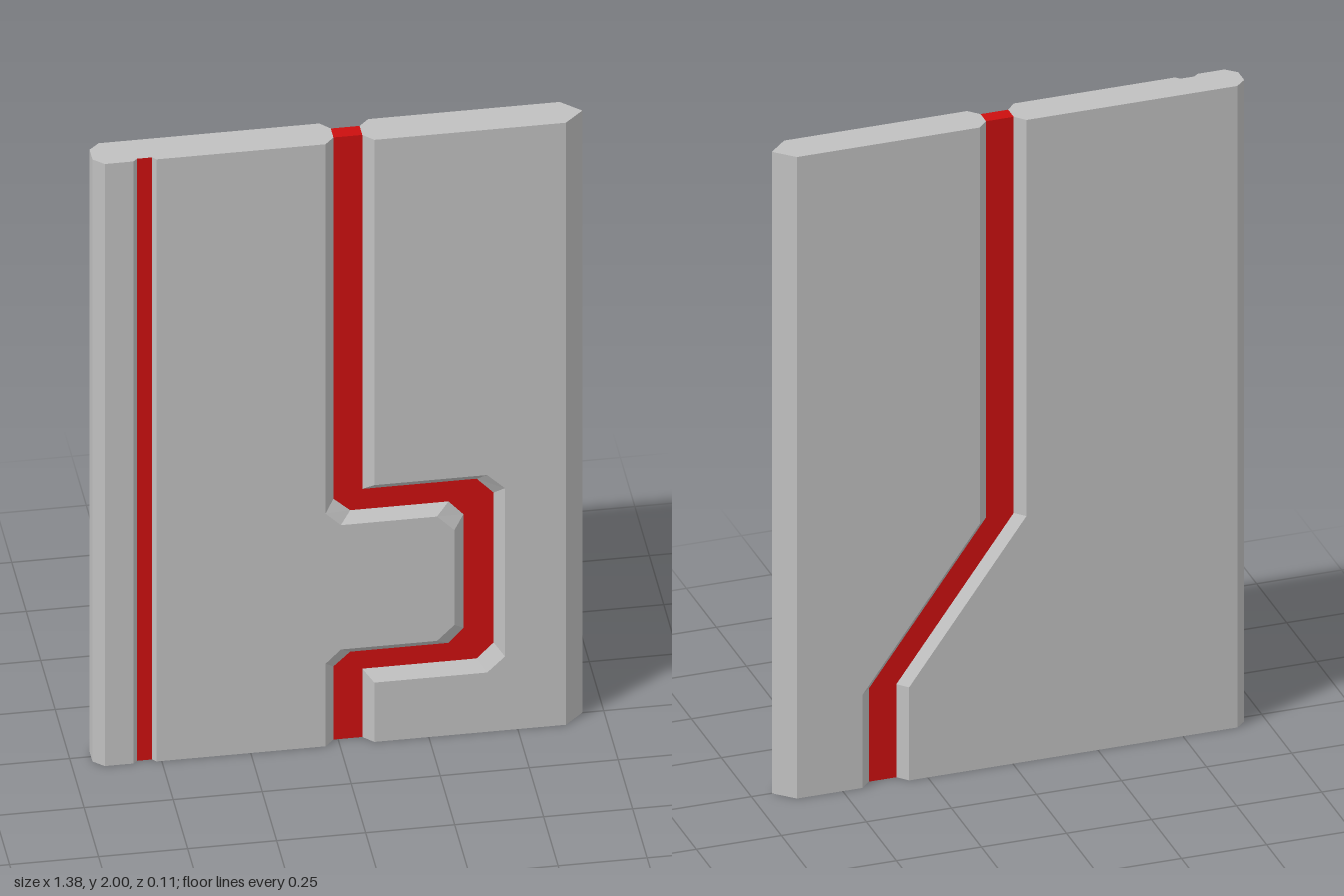
import * as THREE from 'three';

const H = 2;      // panel height
const D = 0.053;  // half thickness
const F = 0.023;  // half depth at the groove floors
const S = 0.041;  // depth of the narrow stripe channel

export function createModel() {
  const grey = new THREE.MeshStandardMaterial({ name: 'panel grey', color: 0xc0c0c0 });
  const red = new THREE.MeshStandardMaterial({ name: 'seam red', color: 0xcc0f0f });
  const model = new THREE.Group();
  model.name = 'doorPanel';

  const add = (parent, name, geometry, material) => {
    const mesh = new THREE.Mesh(geometry, material);
    mesh.name = name;
    parent.add(mesh);
    return mesh;
  };

  // flat polygon facing +z
  const flat = (points) =>
    new THREE.ShapeGeometry(new THREE.Shape(points.map(([x, y]) => new THREE.Vector2(x, y))));

  // flat-shaded band between two top-to-bottom lines, left line first
  const band = (left, zl, right, zr) => {
    const pos = [];
    for (let i = 0; i + 1 < left.length; i++) {
      const a = [...left[i], zl], b = [...left[i + 1], zl];
      const c = [...right[i + 1], zr], d = [...right[i], zr];
      pos.push(...a, ...b, ...c, ...a, ...c, ...d);
    }
    const g = new THREE.BufferGeometry();
    g.setAttribute('position', new THREE.Float32BufferAttribute(pos, 3));
    g.computeVertexNormals();
    return g;
  };
  const vertical = (x) => [[x, H], [x, 0]];
  const between = (left, right) => flat([...left, ...[...right].reverse()]);

  // bevelled groove with a red floor, and the panel faces either side of it
  const grooveSide = (name, { outerA, floorA, floorB, outerB, xMin, xMax }) => {
    const side = new THREE.Group();
    side.name = name;
    add(side, 'faceA', between(vertical(xMin), outerA), grey).position.z = D;
    add(side, 'bevelA', band(outerA, D, floorA, F), grey);
    add(side, 'grooveFloor', between(floorA, floorB), red).position.z = F;
    add(side, 'bevelB', band(floorB, F, outerB, D), grey);
    add(side, 'faceB', between(outerB, vertical(xMax)), grey).position.z = D;
    model.add(side);
    return side;
  };

  // front: groove that steps around a tab with cut corners
  const front = grooveSide('front', {
    outerA: [[-0.04, H], [-0.04, 0.773], [0.003, 0.73], [0.273, 0.73], [0.322, 0.68],
      [0.322, 0.365], [0.273, 0.317], [0.003, 0.317], [-0.04, 0.274], [-0.04, 0]],
    floorA: [[-0.013, H], [-0.013, 0.8], [0.034, 0.757], [0.31, 0.757], [0.352, 0.71],
      [0.352, 0.333], [0.31, 0.287], [0.034, 0.287], [-0.013, 0.243], [-0.013, 0]],
    floorB: [[0.068, H], [0.068, 0.824], [0.389, 0.824], [0.437, 0.773],
      [0.437, 0.275], [0.389, 0.227], [0.068, 0.227], [0.068, 0]],
    outerB: [[0.097, H], [0.097, 0.853], [0.414, 0.853], [0.464, 0.804],
      [0.464, 0.245], [0.414, 0.197], [0.097, 0.197], [0.097, 0]],
    xMin: -0.515, xMax: 0.635,
  });

  // narrow red channel near the blunt edge
  add(front, 'borderFace', between(vertical(-0.66), vertical(-0.58)), grey).position.z = D;
  add(front, 'stripeBevelA', band(vertical(-0.58), D, vertical(-0.567), S), grey);
  add(front, 'stripe', between(vertical(-0.567), vertical(-0.525)), red).position.z = S;
  add(front, 'stripeBevelB', band(vertical(-0.525), S, vertical(-0.515), D), grey);

  // back: groove with one slanted run, written facing +z and turned round
  const slant = (x) => [[x, H], [x, 0.765], [x - 0.345, 0.29], [x - 0.345, 0]];
  grooveSide('back', {
    outerA: slant(-0.097), floorA: slant(-0.068), floorB: slant(0.013), outerB: slant(0.04),
    xMin: -0.635, xMax: 0.66,
  }).rotation.y = Math.PI;

  // long edges: blunt on one side, pointed on the other
  const edge = (name, profile) => {
    for (let i = 0; i + 1 < profile.length; i++) {
      const [xa, za] = profile[i], [xb, zb] = profile[i + 1];
      add(model, name, band(vertical(xa), za, vertical(xb), zb), grey);
    }
  };
  edge('bluntEdge', [[-0.66, -D], [-0.69, -0.025], [-0.69, 0.025], [-0.66, D]]);
  edge('pointedEdge', [[0.635, D], [0.69, 0], [0.635, -D]]);

  // end caps, outlined in x and z
  const cap = (name, points, up, material) => {
    const s = up ? -1 : 1;
    const mesh = add(model, name, flat(points.map(([x, z]) => [x, s * z])), material);
    mesh.rotation.x = s * Math.PI / 2;
    mesh.position.y = up ? H : 0;
  };
  const bluntEnd = [[-0.66, -D], [-0.69, -0.025], [-0.69, 0.025], [-0.66, D], [-0.58, D],
    [-0.567, S], [-0.525, S], [-0.515, D], [-0.04, D], [-0.013, F]];
  const pointedEnd = [[0.068, F], [0.097, D], [0.635, D], [0.69, 0], [0.635, -D]];
  const backGroove = (dx) => [[0.097 + dx, -D], [0.068 + dx, -F], [-0.013 + dx, -F], [-0.04 + dx, -D]];
  const topGroove = backGroove(0);
  cap('topCapBlunt', [...bluntEnd, ...topGroove.slice(2)], true, grey);
  cap('topCapPointed', [...pointedEnd, ...topGroove.slice(0, 2)], true, grey);
  cap('topCapSeam', [[-0.013, F], [0.068, F], [0.068, -F], [-0.013, -F]], true, red);
  cap('bottomCap', [...bluntEnd, ...pointedEnd, ...backGroove(0.345)], false, grey);

  return model;
}
